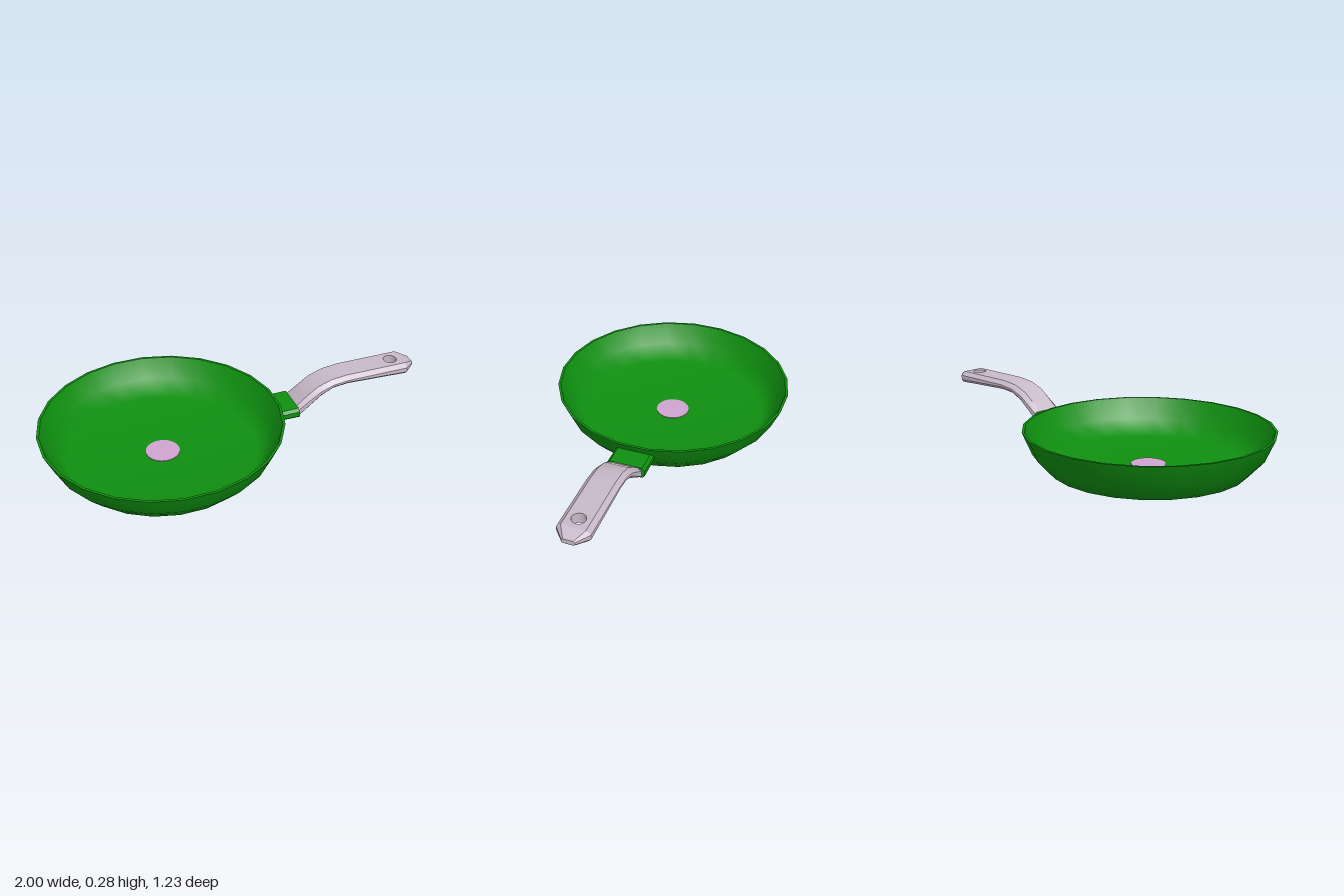
import * as THREE from 'three';
import { toCreasedNormals } from 'three/addons/utils/BufferGeometryUtils.js';

const PAN_X = -0.39, SIDES = 24;
const HOLE_X = 0.88, HOLE_R = 0.035;

// Handle stations: xBottom, yBottom, xTop, yTop, half width, half width of top, top bevel, bottom bevel
const STATIONS = [
  [0.325, 0.105, 0.32, 0.155, 0.083, 0.06, 0.015, 0.004],
  [0.395, 0.155, 0.375, 0.2, 0.083, 0.06, 0.018, 0.008],
  [0.455, 0.197, 0.435, 0.243, 0.083, 0.06, 0.02, 0.012],
  [0.52, 0.226, 0.51, 0.27, 0.083, 0.06, 0.02, 0.014],
  [0.6, 0.234, 0.6, 0.28, 0.083, 0.06, 0.02, 0.015],
  [0.83, 0.225, 0.83, 0.28, 0.083, 0.06, 0.02, 0.015],
  [0.94, 0.22, 0.94, 0.28, 0.083, 0.06, 0.02, 0.015],
  [1.0, 0.233, 1.0, 0.257, 0.032, 0.025, 0.006, 0.006],
];
const HOLE_SPAN = 5; // the station pair whose top and bottom carry the hole

function section([x0, y0, x1, y1, w, t, d, c]) {
  const b = w - c;
  const ring = [[-b, y0], [-w, y0 + c], [-w, y1 - d], [-t, y1], [t, y1], [w, y1 - d], [w, y0 + c], [b, y0]];
  return ring.map(([z, y]) => [x0 + (x1 - x0) * (y - y0) / (y1 - y0), y, z]);
}

function loft(rings, skip = () => false) {
  const pos = [];
  const tri = (...pts) => pts.forEach((p) => pos.push(...p));
  const n = rings[0].length;
  for (let i = 0; i < rings.length - 1; i++) {
    const a = rings[i], b = rings[i + 1];
    for (let j = 0; j < n; j++) {
      if (skip(i, j)) continue;
      const k = (j + 1) % n;
      tri(a[j], a[k], b[k]);
      tri(a[j], b[k], b[j]);
    }
  }
  const first = rings[0], last = rings[rings.length - 1];
  for (let j = 1; j < n - 1; j++) {
    tri(last[0], last[j], last[j + 1]);
    tri(first[0], first[j + 1], first[j]);
  }
  const geo = new THREE.BufferGeometry();
  geo.setAttribute('position', new THREE.Float32BufferAttribute(pos, 3));
  return toCreasedNormals(geo, 0.5);
}

// Flat face with the hanging hole, laid on the handle's top or bottom
function holedPlate(half, top, yAt) {
  const x0 = STATIONS[HOLE_SPAN][0], x1 = STATIONS[HOLE_SPAN + 1][0];
  const shape = new THREE.Shape();
  shape.moveTo(x0, -half).lineTo(x1, -half).lineTo(x1, half).lineTo(x0, half).closePath();
  shape.holes.push(new THREE.Path().absarc(HOLE_X, 0, HOLE_R, 0, Math.PI * 2, true));
  const geo = new THREE.ShapeGeometry(shape, 16);
  geo.rotateX(top ? -Math.PI / 2 : Math.PI / 2);
  const p = geo.attributes.position;
  for (let i = 0; i < p.count; i++) p.setY(i, yAt(p.getX(i)));
  geo.computeVertexNormals();
  return geo;
}

export function createModel() {
  const green = new THREE.MeshStandardMaterial({ color: 0x0f8f10 });
  green.name = 'green enamel';
  const lilac = new THREE.MeshStandardMaterial({ color: 0xc8b9c8, side: THREE.DoubleSide });
  lilac.name = 'pale lilac handle';
  const pink = new THREE.MeshStandardMaterial({ color: 0xcfa4cf });
  pink.name = 'pink spot';

  const model = new THREE.Group();
  model.name = 'fryingPan';
  const add = (parent, name, geo, mat) => {
    const mesh = new THREE.Mesh(geo, mat);
    mesh.name = name;
    parent.add(mesh);
    return mesh;
  };

  // Pan: outer shell, rim and inner shell, kept apart so the rim stays crisp
  const pan = new THREE.Group();
  pan.name = 'pan';
  pan.position.x = PAN_X;
  model.add(pan);
  const shells = {
    panOutside: [[0, 0], [0.492, 0], [0.57, 0.085], [0.618, 0.195]],
    panRim: [[0.618, 0.195], [0.605, 0.195]],
    panInside: [[0.605, 0.195], [0.557, 0.09], [0.485, 0.012], [0, 0.012]],
  };
  for (const [name, profile] of Object.entries(shells)) {
    const pts = profile.map(([r, y]) => new THREE.Vector2(r, y));
    add(pan, name, new THREE.LatheGeometry(pts, SIDES, Math.PI / SIDES), green);
  }

  // Round spot on the cooking surface
  const spot = add(pan, 'heatSpot', new THREE.CylinderGeometry(0.087, 0.087, 0.004, 32), pink);
  spot.position.y = 0.013;

  // Bracket joining pan and handle
  const bracket = [
    [0.182, 0.105, 0.2, 0.155, 0.1, 0.085, 0.015, 0.012],
    [0.325, 0.103, 0.32, 0.157, 0.1, 0.085, 0.015, 0.012],
  ];
  add(model, 'bracket', loft(bracket.map(section)), green);

  // Handle: lofted body with open top and bottom around the hole
  const handle = new THREE.Group();
  handle.name = 'handle';
  model.add(handle);
  const body = loft(STATIONS.map(section), (i, j) => i === HOLE_SPAN && (j === 3 || j === 7));
  add(handle, 'handleBody', body, lilac);

  const [a, b] = [STATIONS[HOLE_SPAN], STATIONS[HOLE_SPAN + 1]];
  const topY = () => a[3];
  const bottomY = (x) => a[1] + (b[1] - a[1]) * (x - a[0]) / (b[0] - a[0]);
  add(handle, 'handleTopFace', holedPlate(a[5], true, topY), lilac);
  add(handle, 'handleBottomFace', holedPlate(a[4] - a[7], false, bottomY), lilac);

  // Wall of the hanging hole
  const wall = new THREE.CylinderGeometry(HOLE_R, HOLE_R, 1, 32, 1, true).translate(HOLE_X, 0, 0);
  const p = wall.attributes.position;
  for (let i = 0; i < p.count; i++) p.setY(i, p.getY(i) > 0 ? topY() : bottomY(p.getX(i)));
  add(handle, 'hangingHoleWall', wall, lilac);

  return model;
}
